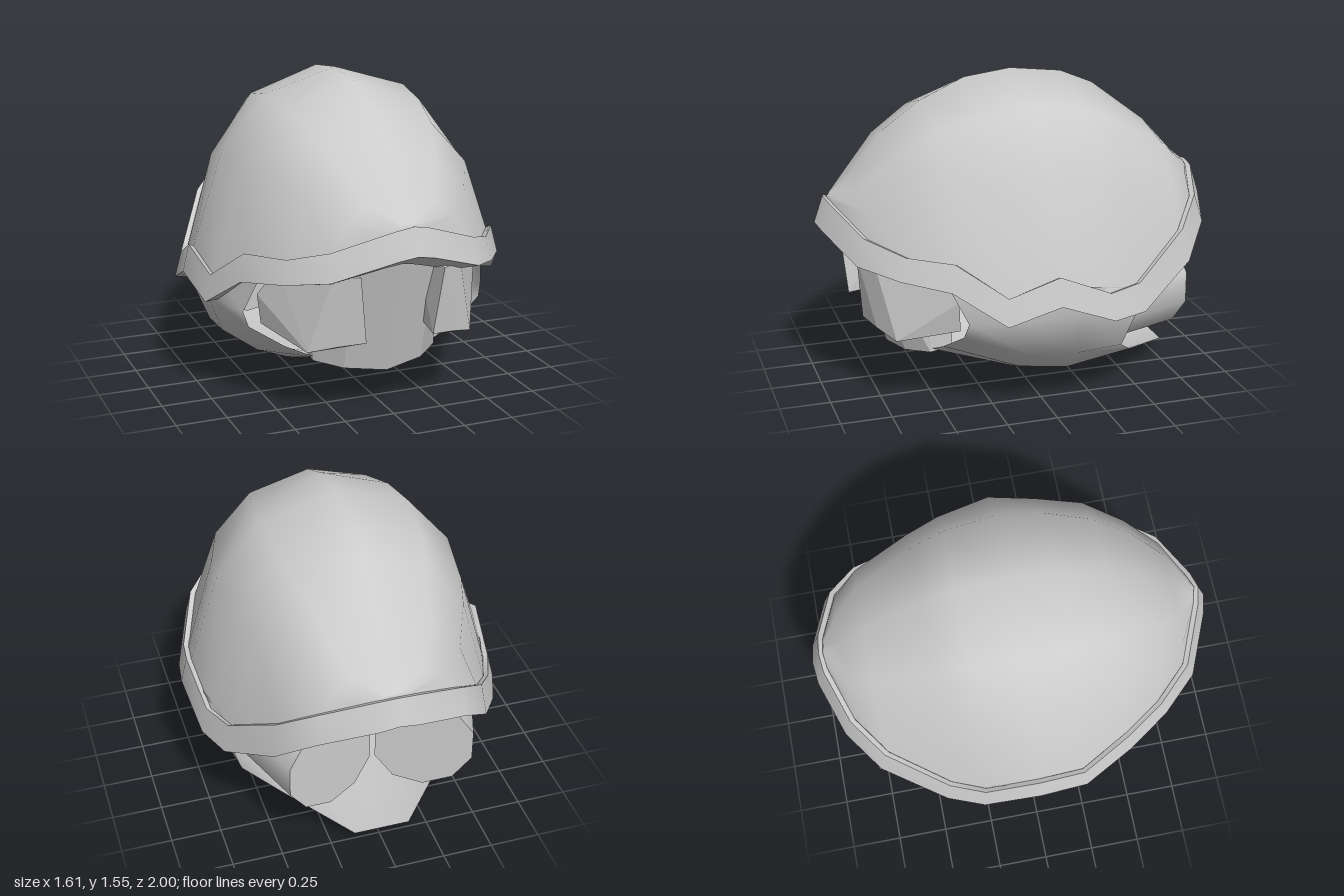
import * as THREE from 'three';
import { ConvexGeometry } from 'three/addons/geometries/ConvexGeometry.js';

const material = (flatShading) => new THREE.MeshStandardMaterial({ color: 0xcccccc, side: THREE.DoubleSide, flatShading });

// Skin a grid of points: sections[i][j] = [x, y, z]
function loft(sections) {
  const m = sections[0].length, index = [];
  for (let i = 0; i < sections.length - 1; i++) {
    for (let j = 0; j < m - 1; j++) {
      const a = i * m + j, b = a + m;
      index.push(a, b, a + 1, b, b + 1, a + 1);
    }
  }
  const geometry = new THREE.BufferGeometry();
  geometry.setAttribute('position', new THREE.Float32BufferAttribute(sections.flat(2), 3));
  geometry.setIndex(index);
  geometry.computeVertexNormals();
  return geometry;
}

const flipX = ([x, y, z]) => [-x, y, z];
const hull = (points) => new ConvexGeometry(points.map((p) => new THREE.Vector3(...p)));

// Half outline of the rim, front to back: x, z, lower y, upper y, dome crown y
const RIM = [
  [0, 1, 0.85, 0.98, 0.98], [0.09, 0.98, 0.83, 0.96, 0.99], [0.37, 0.87, 0.73, 0.86, 1.08],
  [0.53, 0.7, 0.69, 0.8, 1.28], [0.67, 0.49, 0.66, 0.79, 1.42], [0.77, 0.25, 0.5, 0.63, 1.52],
  [0.805, 0, 0.585, 0.72, 1.55], [0.77, -0.28, 0.47, 0.6, 1.52], [0.7, -0.46, 0.47, 0.61, 1.45],
  [0.53, -0.76, 0.64, 0.8, 1.24], [0.36, -0.9, 0.78, 0.92, 1.09], [0.1, -0.99, 0.86, 1, 1.02],
  [0, -1, 0.88, 1.01, 1.01],
];

export function createModel() {
  const model = new THREE.Group();
  const add = (name, geometry, flat, parent = model) => {
    const mesh = new THREE.Mesh(geometry, material(flat));
    mesh.name = name;
    parent.add(mesh);
    return mesh;
  };

  // Dome: one arched section per rim point
  const arch = [[1, 0], [0.79, 0.56], [0.49, 0.87], [0, 1], [-0.49, 0.87], [-0.79, 0.56], [-1, 0]];
  add('dome', loft(RIM.map(([x, z, , top, crown]) => {
    const base = top - 0.03;
    return arch.map(([u, v]) => [x * 0.935 * u, base + (crown - base) * v, z * 0.935]);
  })), false);

  // Rim: band flaring outward to its lower edge, with a lip dipping inside at front and back
  const rim = new THREE.Group();
  rim.name = 'rim';
  model.add(rim);
  const ring = [...RIM, ...RIM.slice(0, -1).reverse().map(([x, ...rest]) => [-x, ...rest])];
  const profile = ring.map(([x, z, low, top]) => {
    const dip = Math.max(0, Math.abs(z) - 0.6) * 0.2;
    return [
      [x, low, z], [x * 0.96, top, z * 0.955], [x * 0.93, top - 0.01, z * 0.93], [x * 0.83, low - dip, z * 0.83], [x, low, z],
    ];
  });
  ['rimBand', 'rimTop', 'rimInside', 'rimUnderside'].forEach((name, k) => {
    add(name, loft(profile.map((section) => section.slice(k, k + 2))), false, rim);
  });

  // Jaw: open bowl, sections front to back, each from the keel up to the cheek
  const jaw = [
    [[0, 0.18, 0.5], [0.3, 0.24, 0.5], [0.45, 0.31, 0.48], [0.61, 0.41, 0.42], [0.63, 0.48, 0.4], [0.57, 0.69, 0.5]],
    [[0, 0.06, 0.08], [0.3, 0.1, 0.1], [0.46, 0.16, 0.1], [0.64, 0.29, 0.1], [0.73, 0.5, 0.15], [0.72, 0.65, 0.1]],
    [[0, 0, -0.16], [0.28, 0.06, -0.16], [0.43, 0.11, -0.16], [0.63, 0.27, -0.15], [0.73, 0.5, -0.15], [0.73, 0.64, -0.18]],
    [[0, 0.07, -0.79], [0.14, 0.07, -0.79], [0.42, 0.16, -0.5], [0.6, 0.27, -0.38], [0.66, 0.47, -0.44], [0.65, 0.58, -0.45]],
  ];
  add('jaw', loft(jaw.map((half) => [...half.slice(1).reverse().map(flipX), ...half])), false);

  // Snout: rounded box with a central ridge between the eye pieces
  const snoutSide = [
    [0.21, 0.73, 0.74], [0.32, 0.72, 0.5], [0.2, 0.21, 0.61], [0.32, 0.23, 0.51], [0.32, 0.72, 0.4], [0.32, 0.25, 0.4],
  ];
  add('snout', hull([[0, 0.78, 0.81], [0, 0.19, 0.66], ...snoutSide, ...snoutSide.map(flipX)]), true);

  // Eye pieces: faceted blocks wrapping from the snout to the side
  const eye = [
    [0.21, 0.73, 0.84], [0.17, 0.4, 0.81], [0.32, 0.73, 0.78], [0.3, 0.385, 0.77], [0.42, 0.35, 0.7],
    [0.55, 0.42, 0.42], [0.57, 0.57, 0.43], [0.5, 0.72, 0.52], [0.2, 0.73, 0.55], [0.2, 0.42, 0.55],
  ];
  add('leftEyePiece', hull(eye), true);
  add('rightEyePiece', hull(eye.map(flipX)), true);

  // Rear canisters: ten-sided drums converging towards the back
  for (const side of [1, -1]) {
    const drum = new THREE.CylinderGeometry(0.25, 0.25, 0.42, 10);
    drum.rotateX(-Math.PI / 2).translate(0, 0, 0.21).rotateY(side * 0.34);
    add(side > 0 ? 'leftCanister' : 'rightCanister', drum, false).position.set(side * 0.237, 0.475, -0.7);
  }
  return model;
}
